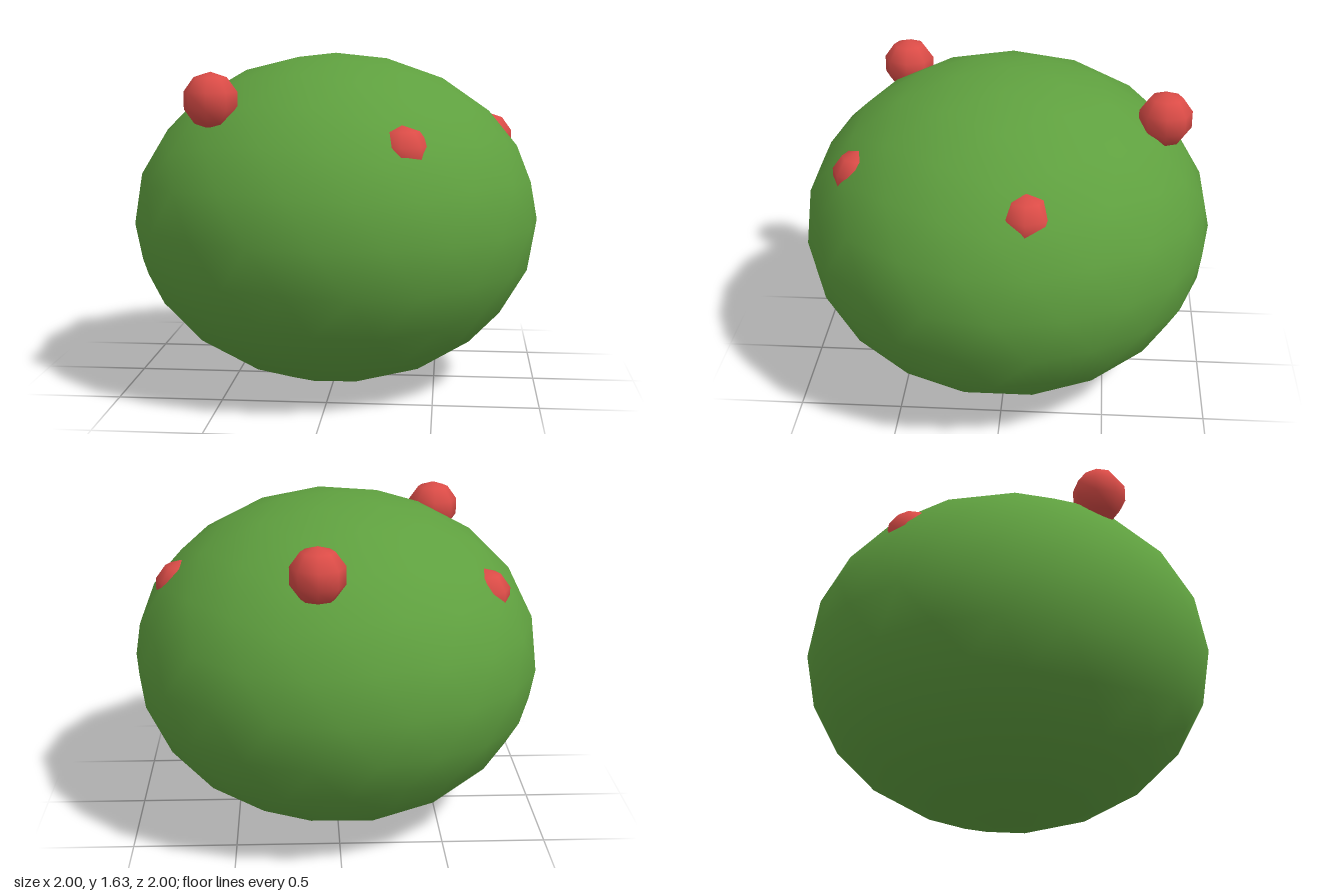
import * as THREE from 'three';

export function createModel() {
  const model = new THREE.Group();
  const leafGreen = new THREE.MeshStandardMaterial({ color: 0x5fa03f });
  leafGreen.name = 'leaf green';
  const berryRed = new THREE.MeshStandardMaterial({ color: 0xdb4c47 });
  berryRed.name = 'berry red';

  // Bush: squashed icosphere turned so that one corner points straight up
  const centreY = 0.82;
  const bushGeometry = new THREE.IcosahedronGeometry(1, 3);
  bushGeometry.rotateZ(-Math.atan(2 / (1 + Math.sqrt(5))));
  bushGeometry.scale(1, 0.816, 1);
  const bush = new THREE.Mesh(bushGeometry, leafGreen);
  bush.name = 'bush';
  bush.position.y = centreY;
  model.add(bush);

  // Berries: five evenly spaced around the bush, alternately sunken and proud
  const berryGeometry = new THREE.SphereGeometry(0.131, 8, 5);
  for (let i = 0; i < 5; i++) {
    const angle = THREE.MathUtils.degToRad(62 + 72 * i);
    const berry = new THREE.Mesh(berryGeometry, berryRed);
    berry.name = `berry${i + 1}`;
    berry.position.set(
      0.758 * Math.cos(angle),
      centreY + (i % 2 ? 0.615 : 0.388),
      0.758 * Math.sin(angle)
    );
    model.add(berry);
  }
  return model;
}
